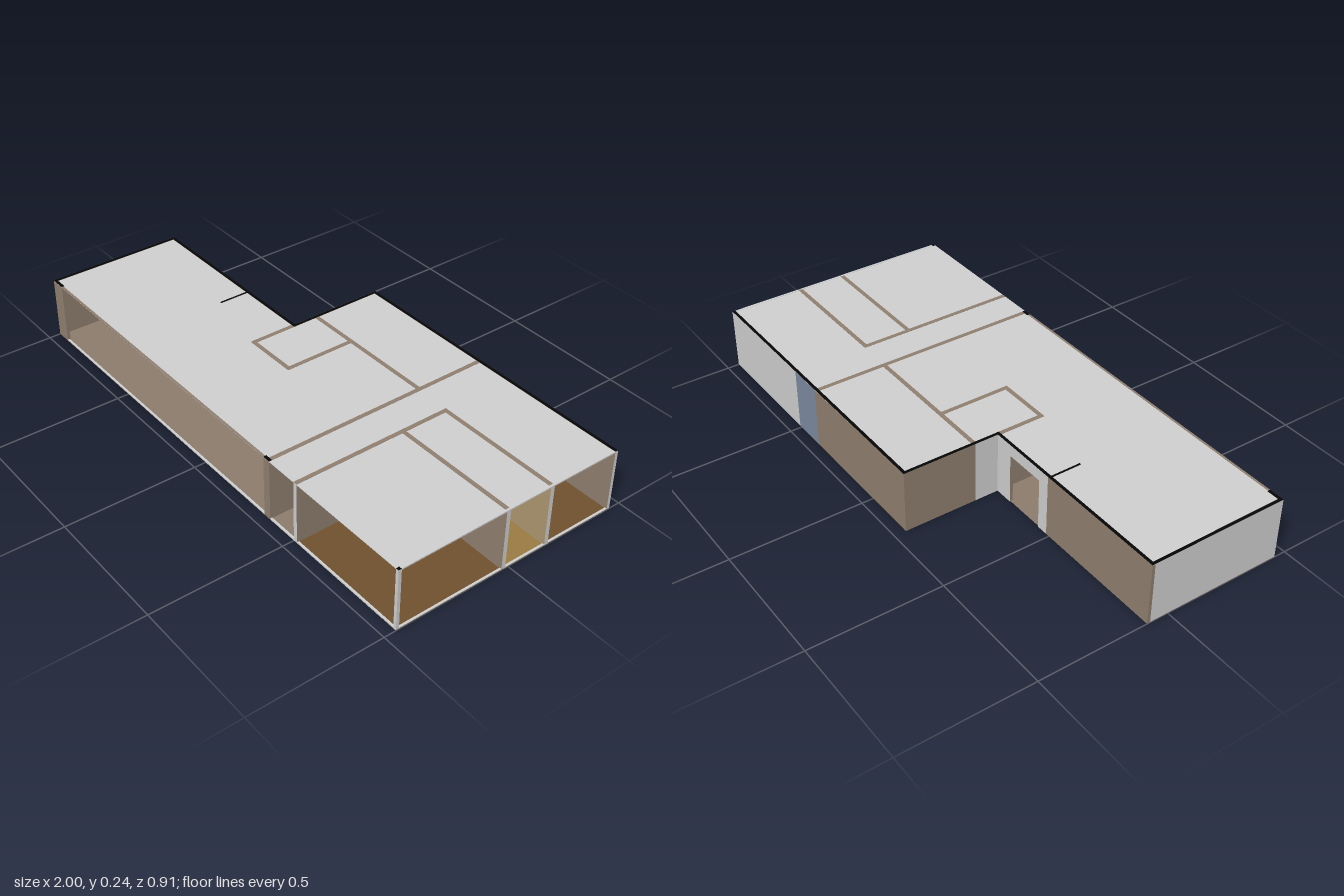
import * as THREE from 'three';

const H = 0.24, T = 0.016, E = 0.012;

function mat(name, color) {
  const m = new THREE.MeshStandardMaterial({ color });
  m.name = name;
  return m;
}

export function createModel() {
  const brown = mat('wall brown', 0x908070);
  const gray = mat('pale gray', 0xd0d0d0);
  const black = mat('cut black', 0x060606);
  const blue = mat('door blue', 0x7d8ca0);
  const tan = mat('bath tan', 0xae9872);
  const wood = mat('wood floor', 0x70512f);
  const tile = mat('tile floor', 0x9c7b45);
  const mainFloor = mat('main floor', 0x8c7c6c);

  const house = new THREE.Group();
  house.name = 'floorPlanHouse';

  // Box given by its limits; faces may override single sides
  function box(name, x0, x1, y0, y1, z0, z1, base, faces = {}) {
    const g = new THREE.BoxGeometry(x1 - x0, y1 - y0, z1 - z0);
    const mats = ['px', 'nx', 'py', 'ny', 'pz', 'nz'].map((k) => faces[k] || base);
    const m = new THREE.Mesh(g, mats);
    m.position.set((x0 + x1) / 2, (y0 + y1) / 2, (z0 + z1) / 2);
    m.name = name;
    house.add(m);
  }
  const wall = (name, x0, x1, z0, z1, faces) => box(name, x0, x1, 0, H, z0, z1, brown, faces);

  // Wall along x or z with one doorway from a to b, of height h
  function doorWall(name, axis, x0, x1, z0, z1, a, b, h, faces) {
    if (axis === 'x') {
      wall(name, x0, a, z0, z1, faces);
      wall(name, b, x1, z0, z1, faces);
      box(name + 'Lintel', a, b, h, H, z0, z1, brown, faces);
    } else {
      wall(name, x0, x1, z0, a, faces);
      wall(name, x0, x1, b, z1, faces);
      box(name + 'Lintel', x0, x1, h, H, z0, z1 - (z1 - b) , brown, faces);
      house.children[house.children.length - 1].scale.z = (b - a) / (b - z0);
      house.children[house.children.length - 1].position.z = (a + b) / 2;
    }
  }

  // Floors by room: [name, x0, x1, z0, z1, material]
  [
    ['livingFloor', -1, -0.2, -0.08, 0.455, mainFloor],
    ['livingFloorEast', -0.2, 0.365, 0.1, 0.455, mainFloor],
    ['livingFloorNorth', 0, 0.365, -0.175, 0.1, mainFloor],
    ['corridorFloor', 0.365, 0.508, -0.455, 0.455, mainFloor],
    ['middleBedroomFloor', -0.2, 0.365, -0.455, -0.175, wood],
    ['backBedroomFloor', 0.508, 1, -0.455, -0.165, wood],
    ['frontBedroomFloor', 0.508, 1, 0.02, 0.455, wood],
    ['bathFloor', 0.508, 1, -0.165, 0.02, tile],
    ['closetFloor', -0.2, 0, -0.175, 0.1, tile],
  ].forEach(([n, x0, x1, z0, z1, m]) => box(n, x0, x1, 0, 0.002, z0, z1, m));

  // Ceiling
  box('ceilingWest', -1, -0.2, H - 0.003, H - 0.001, -0.08, 0.455, gray);
  box('ceilingEast', -0.2, 1, H - 0.003, H - 0.001, -0.455, 0.455, gray);

  // Outer walls, dark along the cut top
  const B = -0.455, cut = { py: black };
  wall('backWallBrown', -0.208, 0.373, B, B + E, cut);
  wall('backWallDoorPart', 0.373, 0.51, B, B + E, { ...cut, nz: blue });
  wall('backWallGray', 0.51, 1, B, B + E, { ...cut, nz: gray, px: gray });
  wall('sideWallBedroom', -0.208, -0.208 + E, B + E, -0.175, cut);
  wall('sideWallCloset', -0.208, -0.208 + E, -0.175, -0.083, { ...cut, nx: gray, px: tan });
  doorWall('entryWall', 'x', -0.485, -0.196, -0.083, -0.083 + E, -0.44, -0.28, 0.195, { ...cut, nz: gray });
  wall('livingBackWall', -1, -0.485, -0.083, -0.083 + E, cut);
  wall('livingSideWall', -1, -1 + E, -0.083 + E, 0.455, { ...cut, nx: gray });
  wall('frontCornerStub', -1 + E, -0.94, 0.443, 0.455, cut);
  wall('frontMiddleStub', 0.342, 0.373, 0.443, 0.455, cut);
  wall('entryPartition', -0.494, -0.486, -0.071, 0.045, cut);
  box('cornerPost', 0.988, 1, 0, H, 0.443, 0.455, gray, cut);

  // Thin frames of the open front and side
  box('frontSill', -0.94, 0.988, 0, 0.005, 0.447, 0.455, gray);
  box('sideSill', 0.992, 1, 0, 0.005, B + E, 0.443, gray);
  box('frontHeadStrip', -0.94, 0.342, H - 0.005, H, 0.447, 0.455, brown);
  box('sideHeadStrip', 0.992, 1, H - 0.005, H, B + E, 0.443, gray);

  // Inner walls
  doorWall('corridorWall', 'z', 0.357, 0.373, B + E, 0.443, -0.31, -0.235, 0.192);
  doorWall('bedroomWall', 'z', 0.5, 0.516, -0.173, 0.455, 0.06, 0.145, 0.205, { pz: gray });
  wall('bathBackWall', 0.516, 1, -0.173, -0.157, { pz: tan, px: gray });
  doorWall('bathFrontWall', 'x', 0.516, 1, 0.012, 0.028, 0.61, 0.695, 0.205, { nz: tan, px: gray });
  box('bathSideLining', 0.516, 0.518, 0.002, H - 0.004, -0.157, 0.012, tan);
  wall('middleBedroomWall', -0.196, 0.357, -0.183, -0.167);
  box('closetBackLining', -0.194, -0.008, 0.002, H - 0.004, -0.167, -0.165, tan);

  // Closet
  wall('closetWestWall', -0.212, -0.196, -0.071, 0.108, { px: tan });
  wall('closetEastWall', -0.008, 0.008, -0.167, 0.108, { nx: tan });
  doorWall('closetFrontWall', 'x', -0.196, -0.008, 0.108 - T, 0.108, -0.16, -0.075, 0.195, { nz: tan });

  return house;
}
